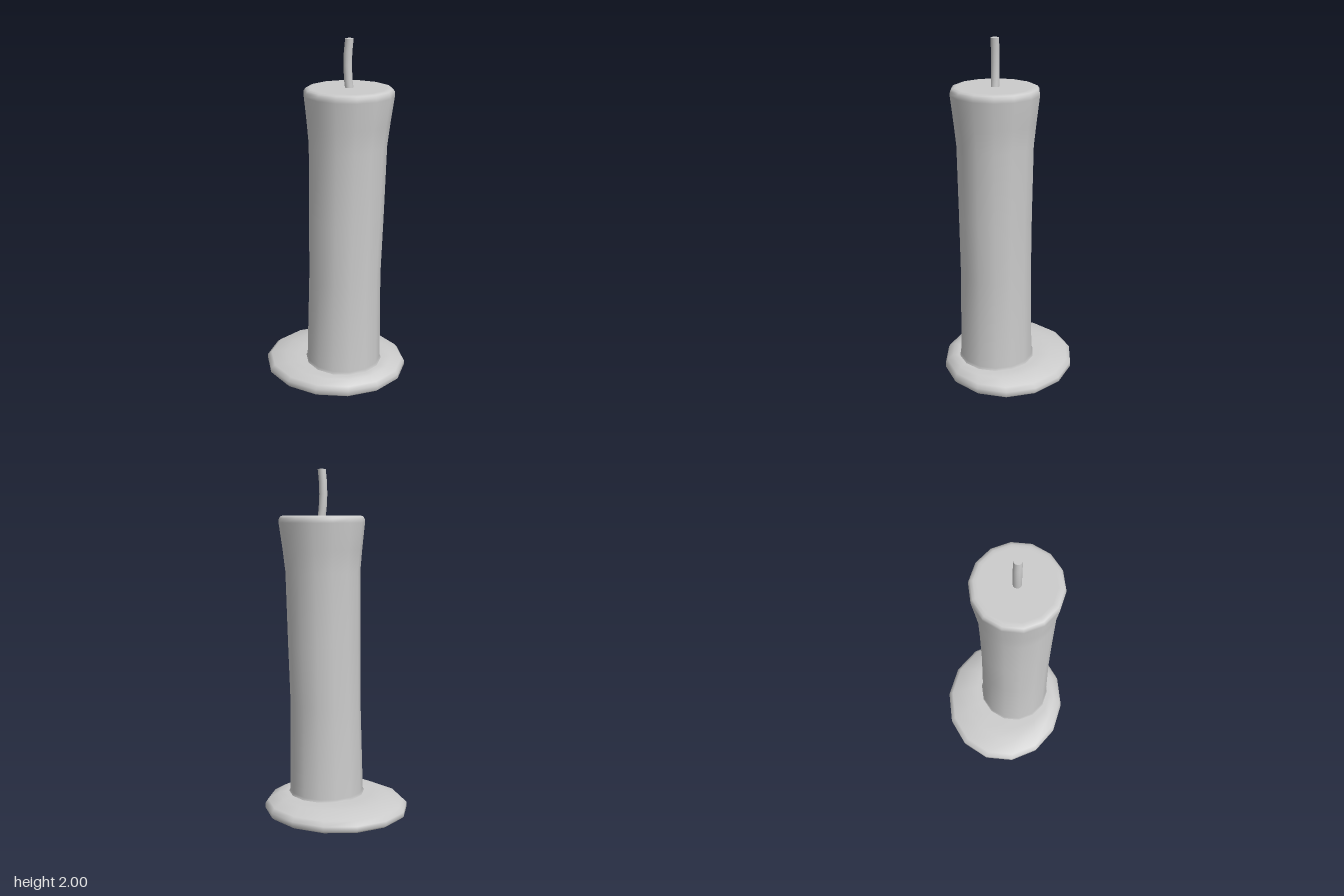
import * as THREE from 'three';

const SIDES = 14;

// Skin a stack of elliptical rings [y, centreX, centreZ, radiusX, radiusZ], bottom to top.
function loft(rings, sides) {
  const pos = [], index = [];
  for (const [y, cx, cz, rx, rz] of rings) {
    for (let i = 0; i < sides; i++) {
      const a = (i / sides) * Math.PI * 2;
      pos.push(cx + rx * Math.sin(a), y, cz + rz * Math.cos(a));
    }
  }
  for (let r = 0; r < rings.length - 1; r++) {
    for (let i = 0; i < sides; i++) {
      const j = (i + 1) % sides;
      const a = r * sides + i, b = r * sides + j, c = a + sides, d = b + sides;
      if (rings[r][3] > 0) index.push(a, b, d);
      if (rings[r + 1][3] > 0) index.push(a, d, c);
      else if (rings[r][3] > 0) index[index.length - 1] = c;
    }
  }
  const geo = new THREE.BufferGeometry();
  geo.setAttribute('position', new THREE.Float32BufferAttribute(pos, 3));
  geo.setIndex(index);
  geo.computeVertexNormals();
  return geo;
}

export function createModel() {
  const group = new THREE.Group();
  const material = new THREE.MeshStandardMaterial({ color: 0xcccccc });
  const add = (name, geometry) => {
    const mesh = new THREE.Mesh(geometry, material);
    mesh.name = name;
    group.add(mesh);
  };

  // Melted wax foot, its upper rim drawn towards the off-centre candle
  add('waxFoot', loft([
    [0, 0, 0, 0, 0],
    [0, 0, 0, 0.395, 0.36],
    [0.004, 0, 0, 0.41, 0.374],
    [0.018, 0, 0, 0.425, 0.388],
    [0.045, 0, 0, 0.424, 0.387],
    [0.068, 0.006, 0.006, 0.403, 0.368],
    [0.095, 0.03, 0.035, 0.325, 0.3],
    [0.098, 0.05, 0.05, 0.26, 0.25],
    [0.1, 0.069, 0.058, 0.2, 0.2],
  ], SIDES));

  // Leaning candle body that flares at the top and has a rounded rim
  add('candleBody', loft([
    [0.09, 0.069, 0.058, 0.232, 0.23],
    [0.112, 0.069, 0.058, 0.219, 0.217],
    [0.65, 0.0745, 0.057, 0.208, 0.209],
    [1.0, 0.081, 0.056, 0.213, 0.211],
    [1.42, 0.088, 0.054, 0.217, 0.217],
    [1.55, 0.09, 0.053, 0.23, 0.23],
    [1.7, 0.093, 0.052, 0.248, 0.247],
    [1.722, 0.093, 0.052, 0.246, 0.245],
    [1.735, 0.093, 0.052, 0.237, 0.236],
    [1.74, 0.093, 0.052, 0.222, 0.221],
    [1.74, 0.093, 0.052, 0.205, 0.204],
    [1.74, 0.093, 0.052, 0, 0],
  ], SIDES));

  // Bent wick with a flat tip
  const wickPath = [[1.72, 0.096], [1.78, 0.088], [1.86, 0.084], [1.93, 0.086], [2, 0.093]];
  const wickRings = wickPath.map(([y, x]) => [y, x, 0.052, 0.0235, 0.0235]);
  add('wick', loft(wickRings, 12));
  const tip = new THREE.CircleGeometry(0.0235, 12);
  tip.rotateX(-Math.PI / 2).translate(0.093, 2, 0.052);
  add('wickTip', tip);

  return group;
}
